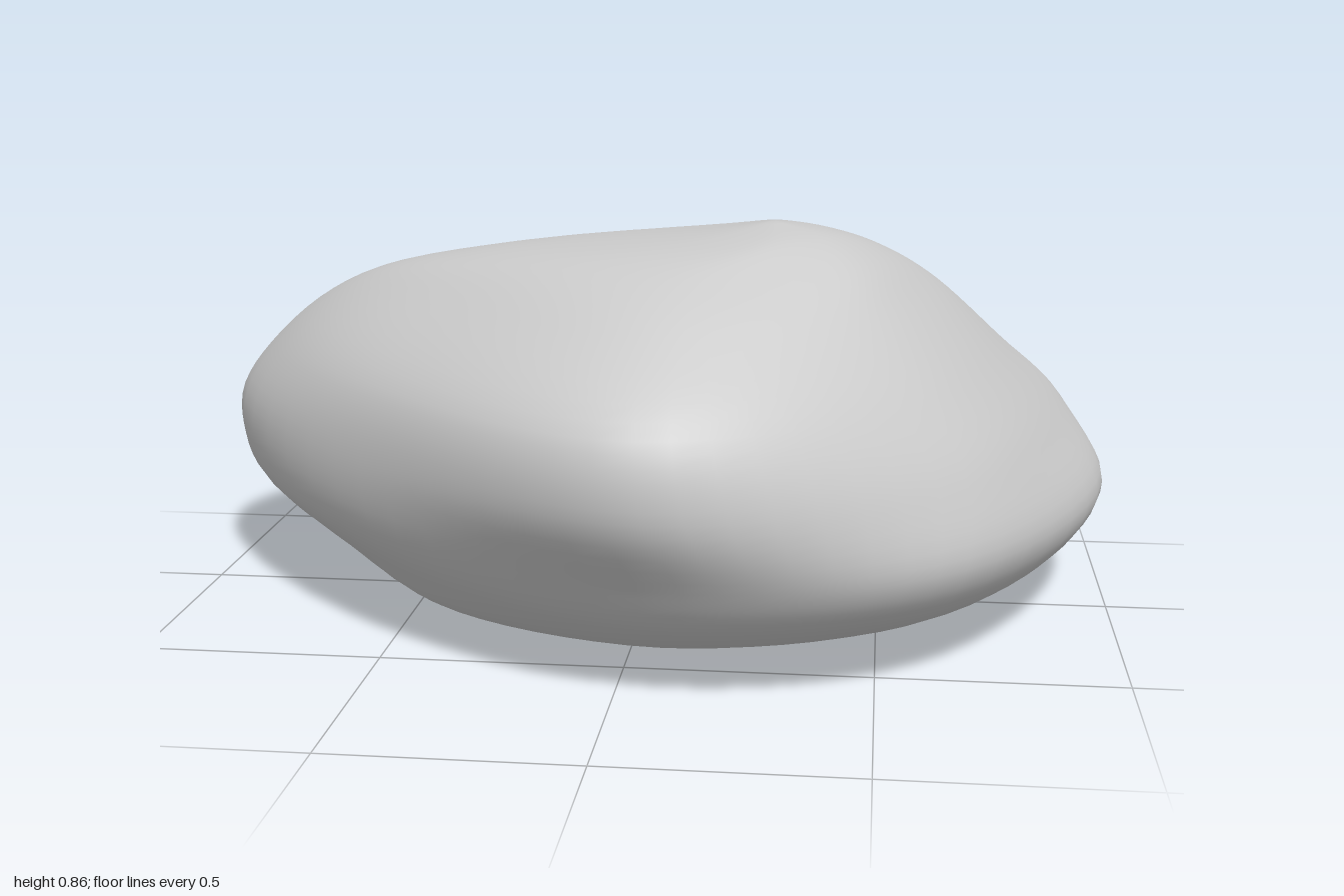
import * as THREE from 'three';

// Horizontal outlines of the boulder from bottom to top. Each has eight [x, z] corners:
// right, front-right, front, front-left, left, back-left, back, back-right.
const SECTIONS = [
  { y: 0.03, ring: [[.64, -.10], [.43, .28], [.06, .44], [-.40, .26], [-.57, -.15], [-.42, -.52], [.10, -.70], [.48, -.50]] },
  { y: 0.14, ring: [[.90, -.10], [.61, .52], [.12, .69], [-.47, .39], [-.80, -.20], [-.58, -.74], [.05, -.86], [.66, -.62]] },
  { y: 0.25, ring: [[1.0, -.22], [.67, .57], [.14, .78], [-.52, .45], [-.97, -.24], [-.70, -.74], [.05, -.79], [.83, -.58]] },
  { y: 0.40, ring: [[.91, -.22], [.67, .51], [.08, .86], [-.54, .46], [-.99, -.22], [-.74, -.64], [.00, -.67], [.85, -.49]] },
  { y: 0.55, ring: [[.77, -.17], [.59, .46], [.06, .84], [-.51, .43], [-.88, -.18], [-.66, -.48], [.00, -.51], [.69, -.42]] },
  { y: 0.70, ring: [[.62, -.10], [.47, .41], [.08, .64], [-.40, .30], [-.66, -.06], [-.45, -.30], [.00, -.33], [.53, -.28]] },
  { y: 0.78, ring: [[.51, .00], [.42, .32], [.12, .46], [-.21, .29], [-.36, .07], [-.20, -.14], [.10, -.22], [.42, -.18]] },
  { y: 0.83, ring: [[.40, .10], [.37, .21], [.26, .29], [.14, .22], [.11, .12], [.15, .02], [.24, -.07], [.35, -.02]] },
];
const BASE = new THREE.Vector3(0.18, 0.005, -0.42);
const PEAK = new THREE.Vector3(0.27, 0.855, 0.12);
const AROUND = 64;
const UP = 54;

function boulderGeometry() {
  // Smooth closed outline for every section
  const outlines = SECTIONS.map(({ y, ring }) =>
    new THREE.CatmullRomCurve3(ring.map(([x, z]) => new THREE.Vector3(x, y, z)), true, 'centripetal'));

  // One smooth rib from base to peak for every step around
  const ribs = [];
  for (let j = 0; j < AROUND; j++) {
    const points = outlines.map((curve) => curve.getPoint(j / AROUND));
    ribs.push(new THREE.CatmullRomCurve3([BASE, ...points, PEAK], false, 'centripetal'));
  }

  const positions = [];
  const index = [];
  for (let i = 1; i < UP; i++) {
    for (const rib of ribs) {
      const p = rib.getPoint(i / UP);
      positions.push(p.x, Math.max(p.y, 0), p.z);
    }
  }
  const base = positions.length / 3;
  const peak = base + 1;
  positions.push(BASE.x, 0, BASE.z, PEAK.x, PEAK.y, PEAK.z);

  // Skin between the ribs, closed by fans at both ends
  for (let j = 0; j < AROUND; j++) {
    const k = (j + 1) % AROUND;
    for (let i = 0; i < UP - 2; i++) {
      const a = i * AROUND + j;
      const b = i * AROUND + k;
      index.push(a, a + AROUND, b, b, a + AROUND, b + AROUND);
    }
    const top = (UP - 2) * AROUND;
    index.push(base, j, k, peak, top + k, top + j);
  }

  const geometry = new THREE.BufferGeometry();
  geometry.setAttribute('position', new THREE.Float32BufferAttribute(positions, 3));
  geometry.setIndex(index);
  geometry.computeVertexNormals();
  return geometry;
}

export function createModel() {
  const group = new THREE.Group();
  group.name = 'rock';
  const boulder = new THREE.Mesh(boulderGeometry(), new THREE.MeshStandardMaterial({ color: 0xcccccc }));
  boulder.name = 'boulder';
  group.add(boulder);
  return group;
}
